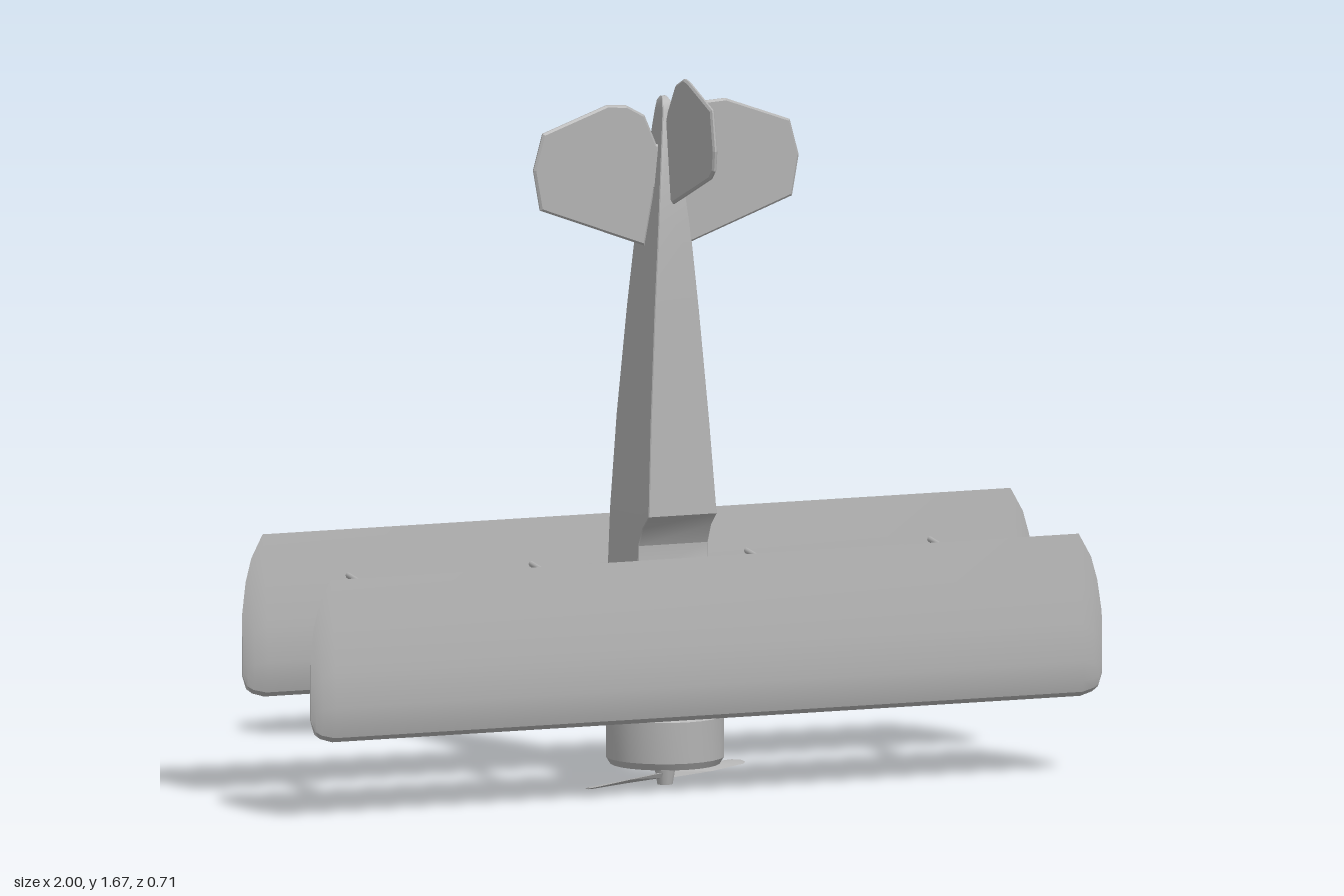
import * as THREE from 'three';
import { toCreasedNormals } from 'three/addons/utils/BufferGeometryUtils.js';

const grey = new THREE.MeshStandardMaterial({ color: 0xb2b2b2 });
grey.name = 'plain grey';
const V = (x, y, z) => new THREE.Vector3(x, y, z);
const AXIS_Z = 0.057; // depth of the engine and propeller axis

// Joins rings of points into a closed, capped skin
function loft(rings) {
  const n = rings[0].length, pos = rings.flat(2), idx = [];
  for (let s = 0; s < rings.length - 1; s++) {
    for (let i = 0; i < n; i++) {
      const j = (i + 1) % n, a = s * n, b = a + n;
      idx.push(a + i, a + j, b + j, a + i, b + j, b + i);
    }
  }
  const last = (rings.length - 1) * n;
  for (let i = 1; i < n - 1; i++) {
    idx.push(0, i + 1, i);
    idx.push(last, last + i, last + i + 1);
  }
  const g = new THREE.BufferGeometry();
  g.setAttribute('position', new THREE.Float32BufferAttribute(pos, 3));
  g.setIndex(idx);
  return toCreasedNormals(g, 0.45);
}

// Thin bevelled plate from an outline, centred on its own plane
function plate(points) {
  const shape = new THREE.Shape(points.map(p => new THREE.Vector2(...p)));
  const g = new THREE.ExtrudeGeometry(shape, {
    depth: 0.004, bevelEnabled: true, bevelThickness: 0.004, bevelSize: 0.005, bevelOffset: -0.005, bevelSegments: 1,
  });
  return g.translate(0, 0, -0.002);
}

export function createModel() {
  const model = new THREE.Group();
  model.name = 'biplane';
  const add = (name, geometry, parent = model) => {
    const m = new THREE.Mesh(geometry, grey);
    m.name = name;
    parent.add(m);
    return m;
  };
  const rod = (name, a, b, r, parent = model) => {
    const m = add(name, new THREE.CylinderGeometry(r, r, a.distanceTo(b), 8), parent);
    m.position.copy(a).add(b).multiplyScalar(0.5);
    m.quaternion.setFromUnitVectors(V(0, 1, 0), b.clone().sub(a).normalize());
    return m;
  };

  // Fuselage: y, top-side z, belly z, half width, corner cut
  const stations = [
    [0.22, 0.19, -0.065, 0.09, 0.045], [0.30, 0.185, -0.072, 0.09, 0.03],
    [0.41, 0.177, -0.075, 0.09, 0.015], [0.446, 0.128, -0.074, 0.09, 0.002],
    [0.50, 0.106, -0.072, 0.09, 0.002], [0.57, 0.106, -0.07, 0.088, 0.002],
    [0.614, 0.128, -0.068, 0.087, 0.002], [0.645, 0.163, -0.067, 0.086, 0.002],
    [0.86, 0.147, -0.057, 0.074, 0.002], [1.12, 0.128, -0.037, 0.056, 0.002],
    [1.32, 0.113, -0.018, 0.04, 0.002], [1.585, 0.075, 0.027, 0.013, 0.002],
    [1.605, 0.066, 0.033, 0.011, 0.002], [1.615, 0.055, 0.042, 0.006, 0.001],
  ];
  add('fuselage', loft(stations.map(([y, f, b, w, c]) => [
    [w - c, y, f], [w, y, f - c], [w, y, b + c], [w - c, y, b],
    [c - w, y, b], [-w, y, b + c], [-w, y, f - c], [c - w, y, f],
  ])));

  // Engine cowl, open at the nose, with a groove between its two rings
  const cowl = [
    [0, 0.13], [0.098, 0.13], [0.098, 0.06], [0.108, 0.05], [0.128, 0.05], [0.138, 0.066], [0.138, 0.163],
    [0.13, 0.171], [0.122, 0.173], [0.122, 0.184], [0.135, 0.189], [0.135, 0.225], [0.126, 0.24], [0, 0.24],
  ].map(p => new THREE.Vector2(...p));
  add('engineCowl', toCreasedNormals(new THREE.LatheGeometry(cowl, 24), 0.4)).position.z = AXIS_Z;

  // Radial engine
  const engine = new THREE.Group();
  engine.name = 'engine';
  engine.position.set(0, 0.1, AXIS_Z);
  model.add(engine);
  add('crankcase', new THREE.CylinderGeometry(0.045, 0.035, 0.06, 16), engine);
  for (let i = 0; i < 7; i++) {
    const a = (i / 7) * Math.PI * 2;
    rod('engineCylinder', V(0, 0, 0), V(Math.cos(a) * 0.095, 0, Math.sin(a) * 0.095), 0.016, engine);
  }

  // Propeller
  const propeller = new THREE.Group();
  propeller.name = 'propeller';
  propeller.position.set(0, 0.022, AXIS_Z);
  propeller.rotation.y = 0.49;
  model.add(propeller);
  add('propellerShaft', new THREE.CylinderGeometry(0.016, 0.016, 0.1, 12), propeller).position.y = 0.05;
  add('propellerHub', new THREE.CylinderGeometry(0.024, 0.018, 0.034, 12), propeller).position.y = -0.005;
  const blade = [[0.285, 0.010, 0.002, 0.15], [0.27, 0.018, 0.003, 0.2], [0.15, 0.021, 0.004, 0.35], [0.01, 0.013, 0.007, 0.6]]
    .map(([x, w, t, twist]) => [[-w, 0], [0, t], [w, 0], [0, -t]].map(([z, y]) => [
      x, y * Math.cos(twist) - z * Math.sin(twist), z * Math.cos(twist) + y * Math.sin(twist),
    ]).reverse());
  for (const turn of [0, Math.PI]) add('propellerBlade', loft(blade), propeller).rotation.y = turn;

  // Wings: one aerofoil section (along the chord, thickness) drawn in at the tips
  const aerofoil = [
    [0, 0], [0.03, 0.014], [0.1, 0.022], [0.22, 0.027], [0.45, 0.02], [0.7, 0.008], [1, -0.008],
    [0.7, -0.013], [0.45, -0.018], [0.22, -0.022], [0.1, -0.019], [0.03, -0.011],
  ];
  const half = [[1, 0.235, 0.38, 0.06], [0.99, 0.205, 0.455, 0.4], [0.975, 0.194, 0.51, 0.65], [0.945, 0.185, 0.565, 1]];
  const span = [...half, ...half.map(([x, ...r]) => [-x, ...r]).reverse()];
  const wing = loft(span.map(([x, y0, y1, t]) => aerofoil.map(([u, z]) => [x, y0 + u * (y1 - y0), z * t])));
  add('upperWing', wing).position.z = 0.3;
  add('lowerWing', wing).position.set(0, 0.053, -0.103);

  // Struts and crossed bracing between the wings
  for (const x of [-0.735, -0.272, 0.272, 0.735]) {
    rod('rearStrut', V(x, 0.47, 0.29), V(x, 0.512, -0.1), 0.007);
    rod('frontStrut', V(x, 0.25, 0.29), V(x, 0.295, -0.1), 0.007);
    rod('brace', V(x, 0.47, 0.29), V(x, 0.282, -0.1), 0.004);
    rod('brace', V(x, 0.25, 0.29), V(x, 0.505, -0.1), 0.004);
  }

  // Landing gear
  const gear = new THREE.Group();
  gear.name = 'landingGear';
  model.add(gear);
  const wheelZ = -0.268, wheelY = 0.265;
  rod('axle', V(-0.272, wheelY, wheelZ), V(0.272, wheelY, wheelZ), 0.011, gear);
  rod('spreaderBar', V(-0.19, wheelY + 0.035, wheelZ + 0.005), V(0.19, wheelY + 0.035, wheelZ + 0.005), 0.008, gear);
  const tyre = [
    [0, -0.012], [0.037, -0.012], [0.037, -0.02], [0.045, -0.021], [0.082, -0.026], [0.088, -0.018],
    [0.088, 0.018], [0.082, 0.026], [0.045, 0.021], [0.037, 0.02], [0.037, 0.012], [0, 0.012],
  ].map(p => new THREE.Vector2(...p));
  const wheelGeometry = toCreasedNormals(new THREE.LatheGeometry(tyre, 24), 0.4);
  for (const s of [-1, 1]) {
    const wheel = add('wheel', wheelGeometry, gear);
    wheel.rotation.z = Math.PI / 2;
    wheel.position.set(s * 0.236, wheelY, wheelZ);
    rod('rearLeg', V(s * 0.075, 0.475, -0.065), V(s * 0.188, 0.275, wheelZ), 0.009, gear);
    rod('frontLeg', V(s * 0.075, 0.29, -0.065), V(s * 0.188, 0.268, wheelZ), 0.009, gear);
  }

  // Tail surfaces
  const tailplane = [
    [0.005, 1.5], [0.025, 1.505], [0.055, 1.575], [0.1, 1.6], [0.15, 1.603], [0.312, 1.545],
    [0.335, 1.46], [0.318, 1.365], [0.055, 1.268], [0.03, 1.4], [0.005, 1.4],
  ];
  for (const s of [-1, 1]) {
    const outline = tailplane.map(([x, y]) => [s * x, y]);
    add('tailplane', plate(outline)).position.z = 0.062;
  }
  const fin = plate([
    [0.358, 1.525], [0.34, 1.62], [0.203, 1.668], [0.177, 1.672], [0.128, 1.651], [0.084, 1.585],
    [0.06, 1.53], [0.06, 1.4], [0.11, 1.369], [0.331, 1.457], [0.352, 1.478],
  ]);
  add('fin', fin).rotation.y = -Math.PI / 2;

  return model;
}
